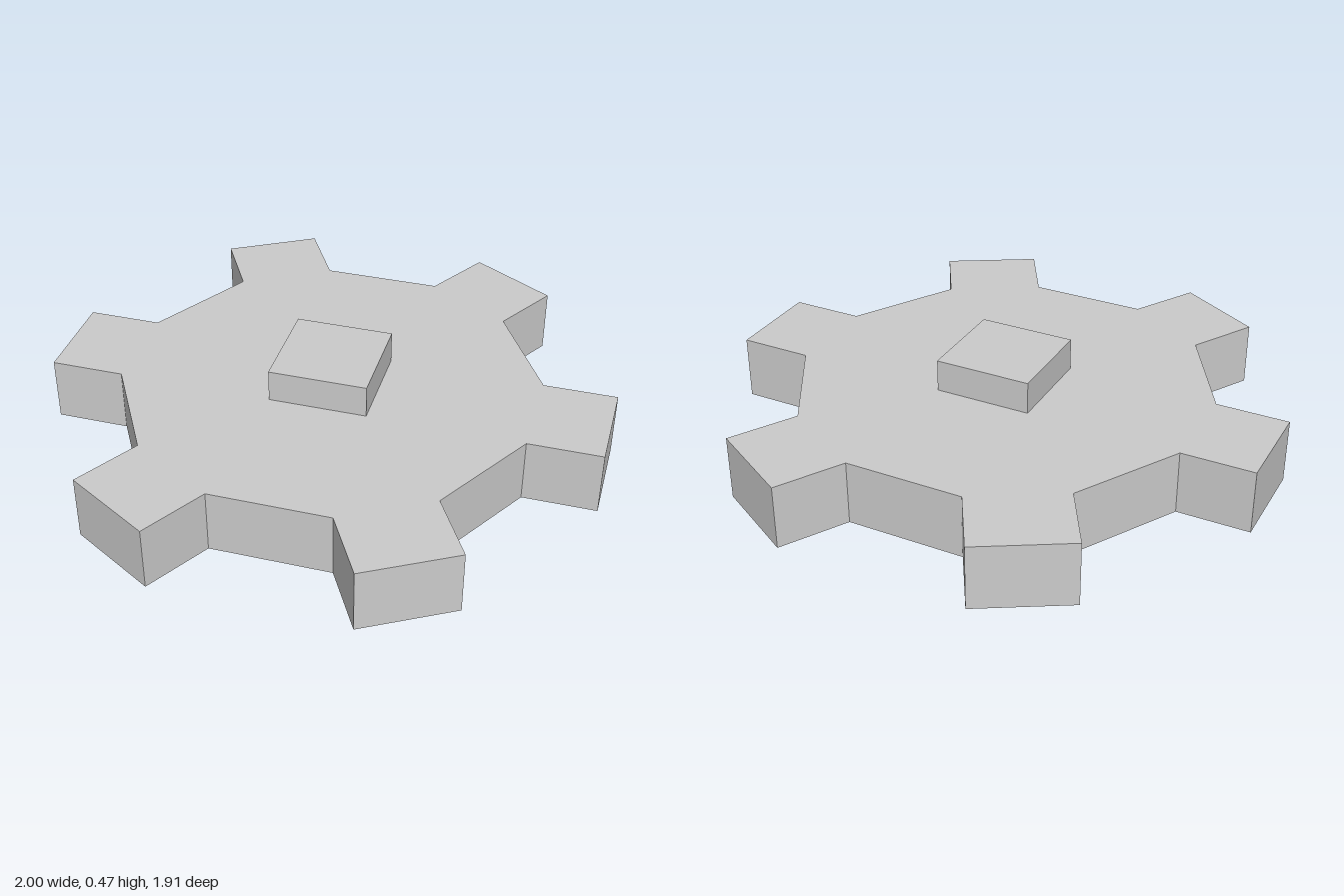
import * as THREE from 'three';

const U = 1 / 17; // model unit
const ARM_HALF = 3 * U, ARM_ROOT = 12.5 * U, ARM_TIP = 1;
const PLATE_BOTTOM = 2 * U, PLATE_TOP = 6 * U, TOTAL = 8 * U;

export function createModel() {
  const grey = new THREE.MeshStandardMaterial({ color: 0xcccccc, flatShading: true, side: THREE.DoubleSide });
  grey.name = 'plain grey';
  const model = new THREE.Group();
  model.name = 'cogWheel';

  const add = (name, geometry, y) => {
    const mesh = new THREE.Mesh(geometry, grey);
    mesh.name = name;
    mesh.position.y = y;
    model.add(mesh);
  };

  // Six-toothed plate: one square tooth repeated every 60 degrees
  const tooth = [[ARM_ROOT, -ARM_HALF], [ARM_TIP, -ARM_HALF], [ARM_TIP, ARM_HALF], [ARM_ROOT, ARM_HALF]];
  const outline = [];
  for (let i = 0; i < 6; i++) {
    for (const [x, y] of tooth) {
      outline.push(new THREE.Vector2(x, y).rotateAround(new THREE.Vector2(), i * Math.PI / 3));
    }
  }
  const plate = new THREE.ExtrudeGeometry(new THREE.Shape(outline), {
    depth: PLATE_TOP - PLATE_BOTTOM, bevelEnabled: false,
  });
  plate.rotateX(-Math.PI / 2);
  add('toothedPlate', plate, PLATE_BOTTOM);

  // Solid square boss on top
  const bossHeight = TOTAL - PLATE_TOP;
  add('topBoss', new THREE.BoxGeometry(6 * U, bossHeight, 6 * U), PLATE_TOP + bossHeight / 2);

  // Thin-walled square socket below, open at the bottom
  const radius = 2 * U * Math.SQRT2;
  add('bottomSocket',
    new THREE.CylinderGeometry(radius, radius, PLATE_BOTTOM, 4, 1, true, Math.PI / 4),
    PLATE_BOTTOM / 2);

  return model;
}
